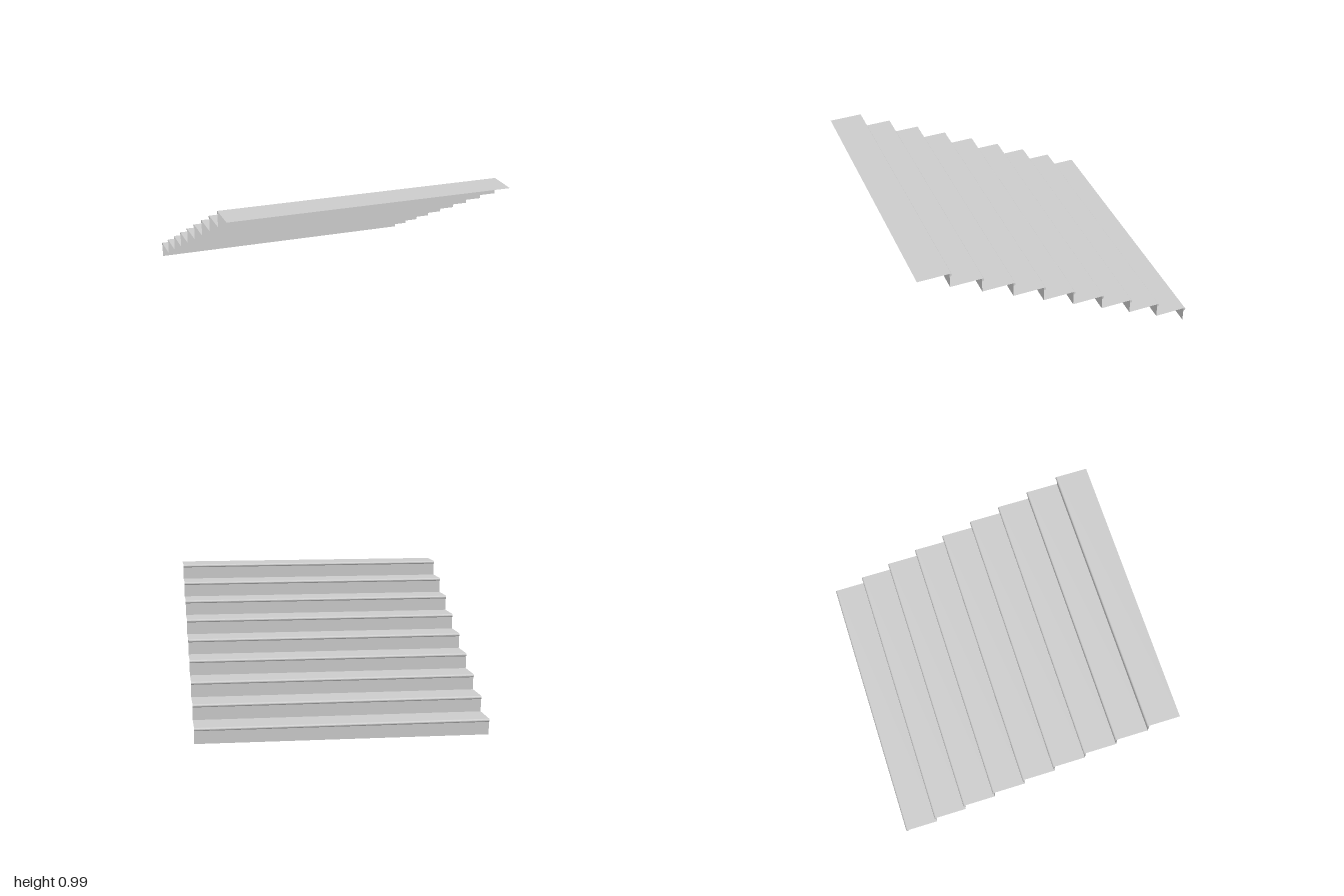
import * as THREE from 'three';

// Flight of thin folded steps with rounded nosings, climbing from back to front
export function createModel() {
  const group = new THREE.Group();
  group.name = 'stairs';
  const steps = 9, width = 1.985;
  const run = 0.2206, rise = 0.1103;
  const noseDepth = 0.0147, noseHeight = 0.0225;
  const material = new THREE.MeshStandardMaterial({ color: 0xcccccc });
  const sheet = new THREE.MeshStandardMaterial({ color: 0xcccccc, side: THREE.DoubleSide });

  // Open sheets: upright riser facing the back, flat tread facing up
  const riserGeometry = new THREE.PlaneGeometry(width, rise).rotateY(Math.PI).translate(0, rise / 2, 0);
  const treadGeometry = new THREE.PlaneGeometry(width, run).rotateX(-Math.PI / 2).translate(0, rise, run / 2);

  // D-shaped nosing profile, extruded across the width
  const r = noseHeight / 2;
  const profile = new THREE.Shape();
  profile.moveTo(0, -noseHeight);
  profile.lineTo(noseDepth - r, -noseHeight);
  profile.absarc(noseDepth - r, -r, r, -Math.PI / 2, Math.PI / 2, false);
  profile.lineTo(0, 0);
  profile.closePath();
  const noseGeometry = new THREE.ExtrudeGeometry(profile, { depth: width, bevelEnabled: false, curveSegments: 8 });
  noseGeometry.translate(0, 0, -width / 2).rotateY(Math.PI / 2).translate(0, rise, 0);

  for (let i = 0; i < steps; i++) {
    const step = new THREE.Group();
    step.name = `step${i + 1}`;
    step.position.set(0, i * rise, -1 + noseDepth + i * run);
    const parts = [
      ['riser', riserGeometry, sheet],
      ['tread', treadGeometry, sheet],
      ['nosing', noseGeometry, material],
    ];
    for (const [name, geometry, mat] of parts) {
      const mesh = new THREE.Mesh(geometry, mat);
      mesh.name = name;
      step.add(mesh);
    }
    group.add(step);
  }
  return group;
}
